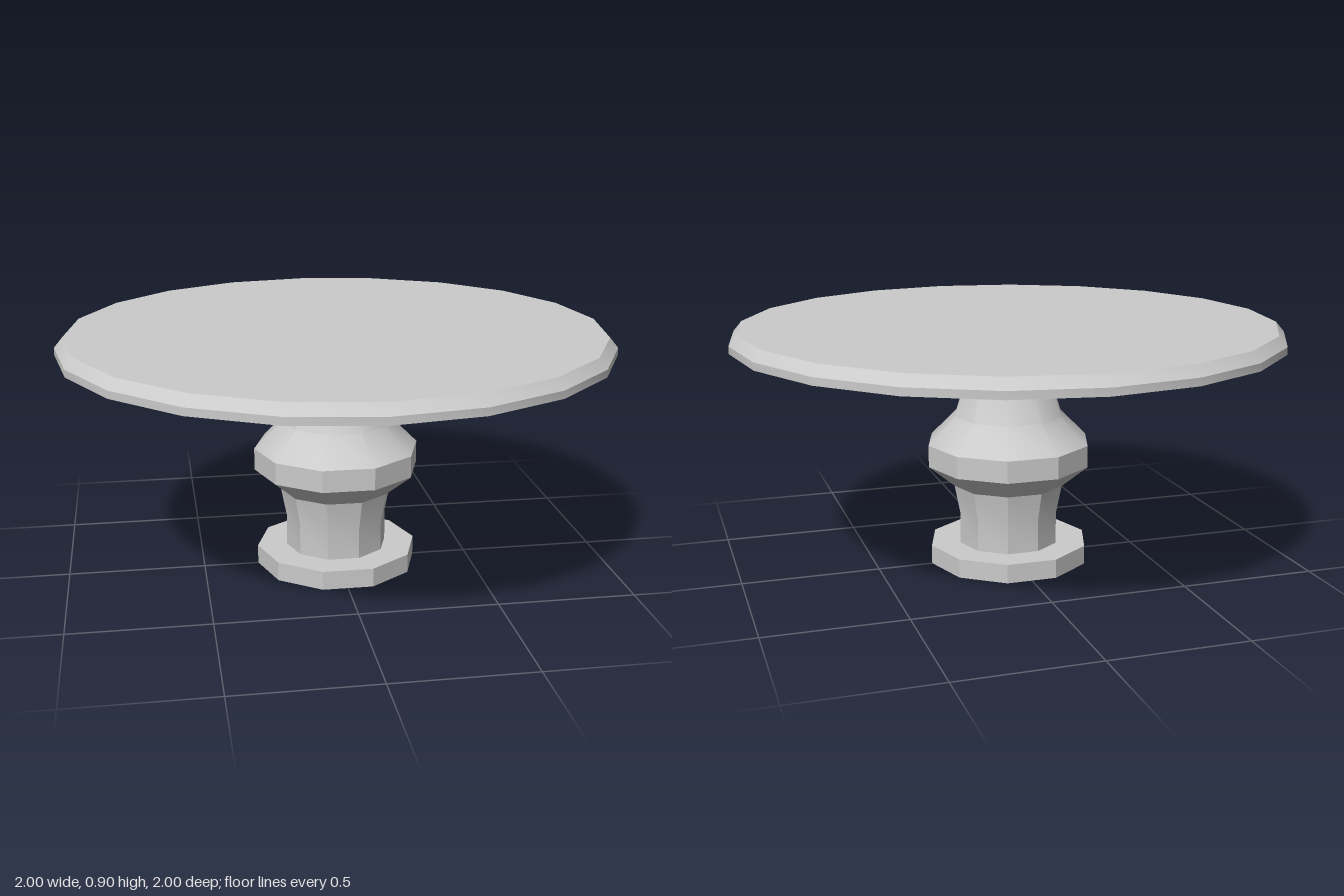
import * as THREE from 'three';
import { toCreasedNormals } from 'three/addons/utils/BufferGeometryUtils.js';

const material = new THREE.MeshStandardMaterial({ color: 0xcccccc });

// Faceted turned part from a [radius, height] profile running bottom to top
function turned(name, profile, sides) {
  const points = profile.map(([r, y]) => new THREE.Vector2(r, y));
  const lathe = new THREE.LatheGeometry(points, sides, Math.PI / 2);
  const mesh = new THREE.Mesh(toCreasedNormals(lathe, 0.6), material);
  mesh.name = name;
  return mesh;
}

export function createModel() {
  const group = new THREE.Group();
  group.name = 'pedestalTable';

  // Round top with a bevelled upper rim
  group.add(turned('tableTop', [
    [0, 0.835], [1, 0.835], [1, 0.862], [0.97, 0.898], [0, 0.898],
  ], 20));

  // Turned column: stem, bulge, tapering shaft and flared neck
  group.add(turned('column', [
    [0.187, 0.07], [0.187, 0.187], [0.208, 0.294], [0.305, 0.374],
    [0.305, 0.455], [0.205, 0.555], [0.129, 0.791], [0.156, 0.835],
  ], 10));

  // Flat foot plate
  group.add(turned('foot', [
    [0, 0], [0.298, 0], [0.298, 0.07], [0, 0.07],
  ], 10));

  return group;
}
